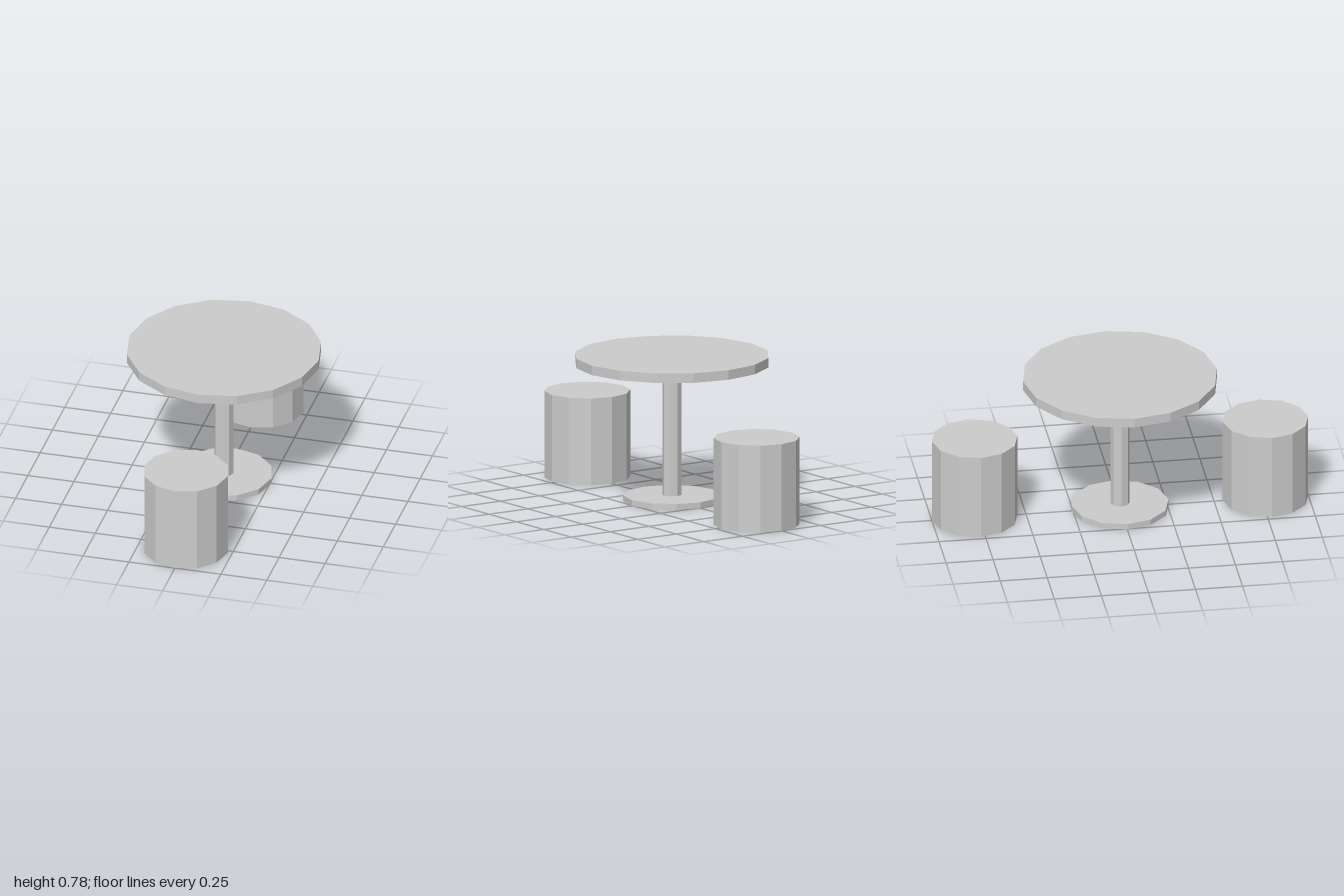
import * as THREE from 'three';

export function createModel() {
  const group = new THREE.Group();
  const material = new THREE.MeshStandardMaterial({ color: 0xcccccc, flatShading: true });
  material.name = 'light grey';

  // Faceted upright cylinder spanning from bottom to top
  function disc(name, radius, bottom, top, sides, z = 0) {
    const geometry = new THREE.CylinderGeometry(radius, radius, top - bottom, sides);
    const mesh = new THREE.Mesh(geometry, material);
    mesh.name = name;
    mesh.position.set(0, (bottom + top) / 2, z);
    group.add(mesh);
  }

  // Pedestal table
  disc('tableTop', 0.515, 0.73, 0.781, 16);
  disc('tableColumn', 0.051, 0.03, 0.73, 8);
  disc('tableBase', 0.258, 0, 0.031, 12);

  // Drum stools in front of and behind the table
  for (const side of [1, -1]) {
    disc(side > 0 ? 'frontStool' : 'backStool', 0.227, 0, 0.464, 12, side * 0.773);
  }
  return group;
}
